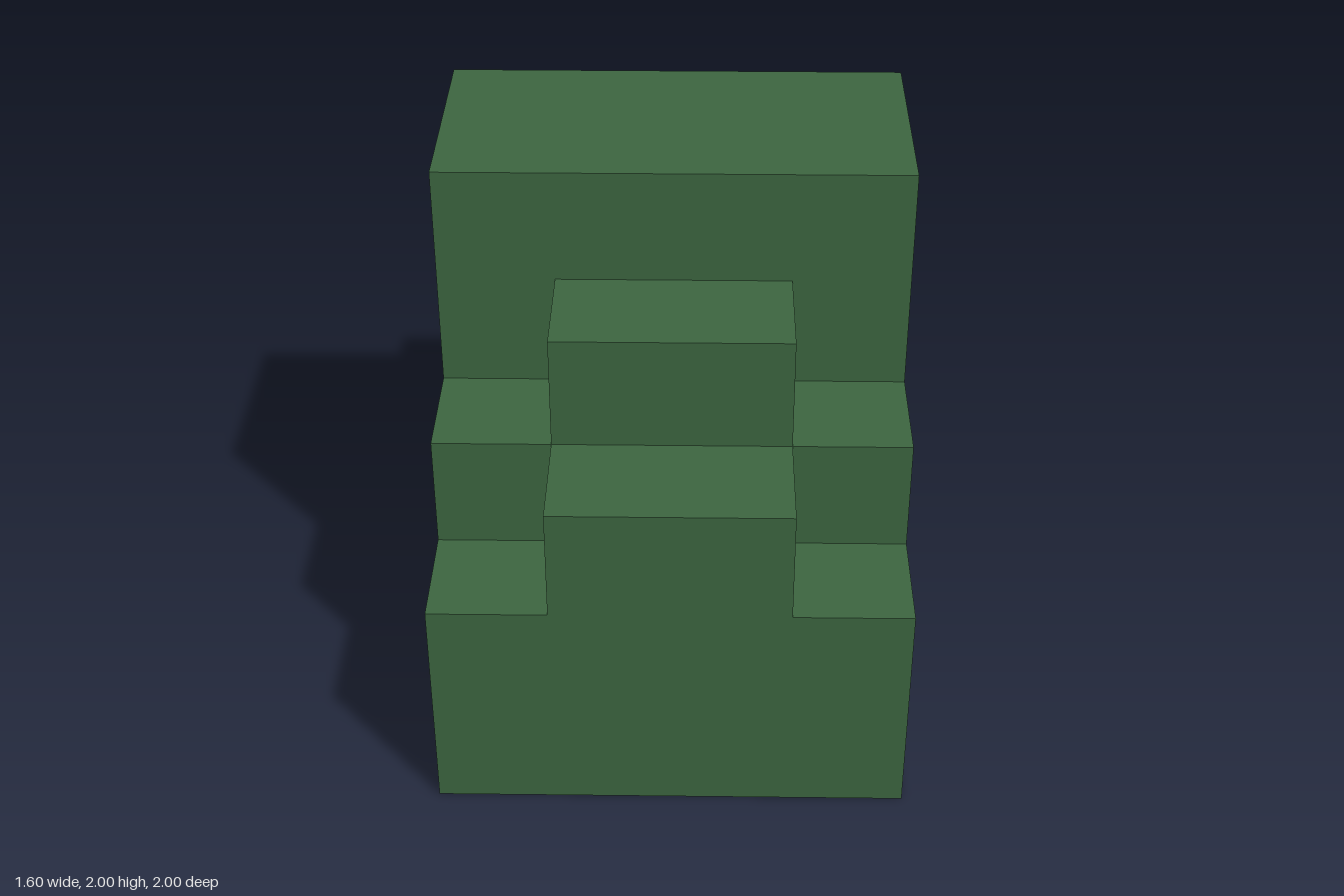
import * as THREE from 'three';

export function createModel() {
  const group = new THREE.Group();
  const green = new THREE.MeshStandardMaterial({ color: 0x3d6641 });
  green.name = 'forest green';

  const add = (name, geometry) => {
    const mesh = new THREE.Mesh(geometry, green);
    mesh.name = name;
    group.add(mesh);
  };

  // Box from its minimum and maximum corners
  const addBlock = (name, min, max) => {
    const [w, h, d] = max.map((v, i) => v - min[i]);
    const geometry = new THREE.BoxGeometry(w, h, d);
    geometry.translate(min[0] + w / 2, min[1] + h / 2, min[2] + d / 2);
    add(name, geometry);
  };

  // Stepped body: side profile (z, y) extruded across the full width
  const profile = [
    [-0.6, 0], [1, 0], [1, 0.8], [0.6, 0.8],
    [0.6, 1.2], [0.2, 1.2], [0.2, 2], [-0.6, 2],
  ].map(([z, y]) => new THREE.Vector2(z, y));
  const body = new THREE.ExtrudeGeometry(new THREE.Shape(profile), { depth: 1.6, bevelEnabled: false });
  body.rotateY(-Math.PI / 2);
  body.translate(0.8, 0, 0);
  add('steppedBody', body);

  // Raised centre blocks, one on each step
  addBlock('lowerCentreStep', [-0.4, 0.8, 0.6], [0.4, 1.2, 1]);
  addBlock('upperCentreStep', [-0.4, 1.2, 0.2], [0.4, 1.6, 0.6]);

  // Block projecting from the back
  addBlock('backBlock', [-0.4, 0.4, -1], [0.4, 1.6, -0.6]);

  return group;
}
